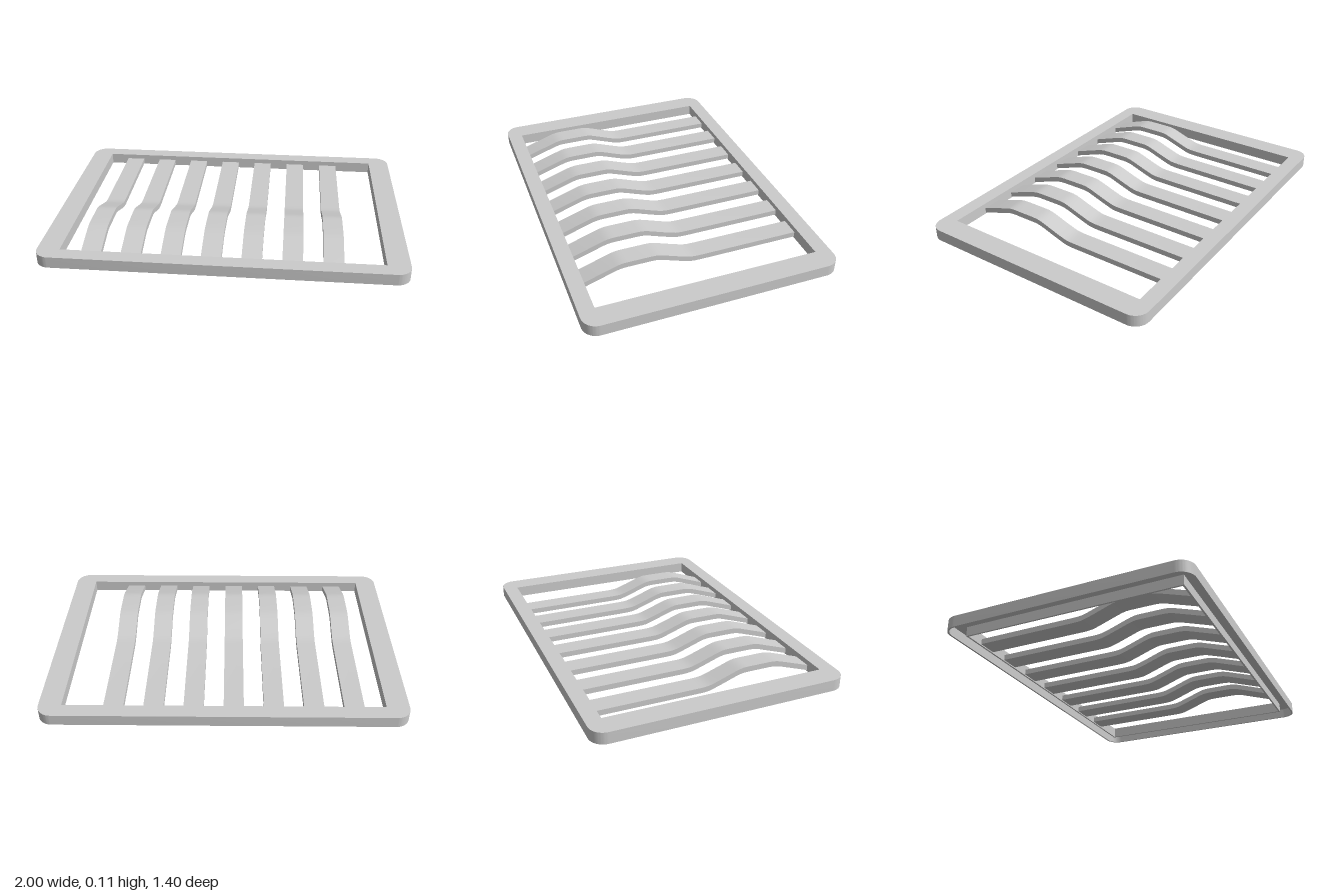
import * as THREE from 'three';
import { toCreasedNormals } from 'three/addons/utils/BufferGeometryUtils.js';

const material = new THREE.MeshStandardMaterial({ color: 0xcccccc });
const HEIGHT = 0.065, WALL = 0.01;

// Rounded (or square, r = 0) rectangle centred on the origin
function rect(w, d, r) {
  const s = new THREE.Shape(), x = w / 2, y = d / 2;
  s.moveTo(-x + r, -y);
  s.lineTo(x - r, -y);
  if (r) s.absarc(x - r, -y + r, r, -Math.PI / 2, 0);
  s.lineTo(x, y - r);
  if (r) s.absarc(x - r, y - r, r, 0, Math.PI / 2);
  s.lineTo(-x + r, y);
  if (r) s.absarc(-x + r, y - r, r, Math.PI / 2, Math.PI);
  s.lineTo(-x, -y + r);
  if (r) s.absarc(-x + r, -y + r, r, Math.PI, Math.PI * 1.5);
  return s;
}

// Flat ring between two outlines, from height y0 to y1
function ring(name, outer, inner, y0, y1) {
  outer.holes.push(inner);
  const geo = new THREE.ExtrudeGeometry(outer, { depth: y1 - y0, bevelEnabled: false, curveSegments: 10 });
  geo.rotateX(-Math.PI / 2).translate(0, y0, 0);
  const mesh = new THREE.Mesh(toCreasedNormals(geo, 0.6), material);
  mesh.name = name;
  return mesh;
}

export function createModel() {
  const model = new THREE.Group();
  model.name = 'slattedTray';

  // Frame: a hollow channel, open underneath
  const frame = new THREE.Group();
  frame.name = 'frame';
  const w = 2, d = 1.4, r = 0.08, iw = 1.75, id = 1.23;
  const t = 2 * WALL;
  frame.add(
    ring('frameTop', rect(w, d, r), rect(iw, id, 0), HEIGHT - WALL, HEIGHT),
    ring('outerWall', rect(w, d, r), rect(w - t, d - t, r - WALL), 0, HEIGHT - WALL),
    ring('innerWall', rect(iw + t, id + t, 0), rect(iw, id, 0), 0, HEIGHT - WALL),
  );
  model.add(frame);

  // Slat profile (z, y): low at the back, arched near the front
  const top = [
    [0.615, 0.036], [0.53, 0.065], [0.435, 0.097], [0.415, 0.102], [0.395, 0.105], [0.37, 0.106],
    [0.24, 0.106], [0.215, 0.105], [0.19, 0.1], [0.165, 0.092], [0.09, 0.065],
    [0.04, 0.048], [0.015, 0.041], [-0.01, 0.038], [-0.04, 0.037], [-0.615, 0.037],
  ];
  const bottom = top.map(([z, y]) => [z, y - 0.031]).reverse();
  const profile = new THREE.Shape([...top, ...bottom].map(([z, y]) => new THREE.Vector2(z, y)));
  const slatWidth = 0.11;
  const geo = new THREE.ExtrudeGeometry(profile, { depth: slatWidth, bevelEnabled: false });
  geo.translate(0, 0, -slatWidth / 2).rotateY(-Math.PI / 2);
  const slatGeo = toCreasedNormals(geo, 0.6);

  const slats = new THREE.Group();
  slats.name = 'slats';
  for (let i = 0; i < 7; i++) {
    const slat = new THREE.Mesh(slatGeo, material);
    slat.name = `slat${i + 1}`;
    slat.position.x = -0.71 + i * 0.2185;
    slats.add(slat);
  }
  model.add(slats);
  return model;
}
